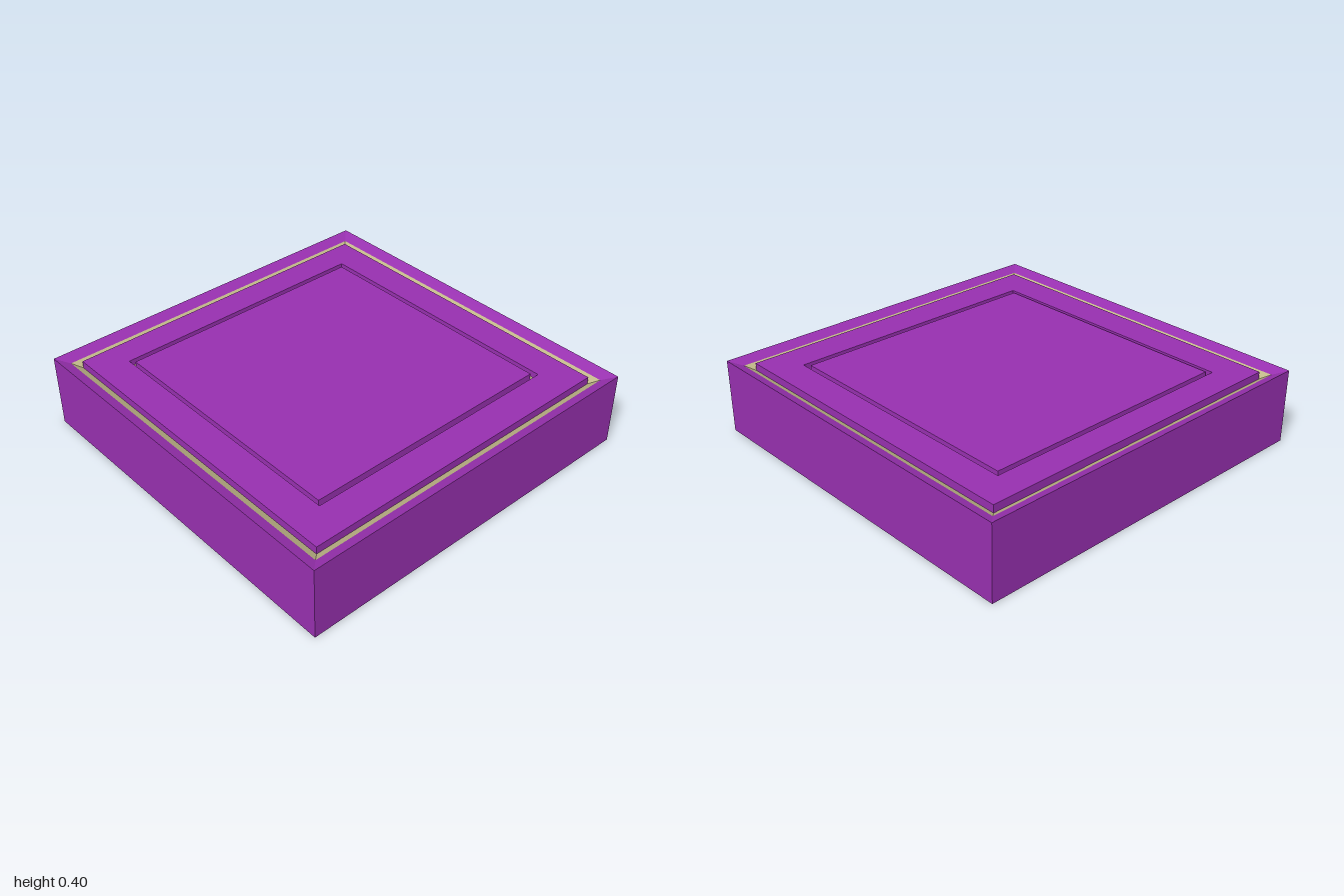
import * as THREE from 'three';

// Rectangular loop at height y, counter-clockwise seen from above
function loop(y, x0, x1 = -x0, z0 = x0, z1 = -z0) {
  return [[x0, y, z1], [x1, y, z1], [x1, y, z0], [x0, y, z0]];
}

// Strip of quads joining consecutive loops, working from outside to inside
function bandGeometry(...loops) {
  const pos = [];
  for (let k = 0; k + 1 < loops.length; k++) {
    const a = loops[k], b = loops[k + 1];
    for (let i = 0; i < 4; i++) {
      const j = (i + 1) % 4;
      pos.push(...a[i], ...a[j], ...b[j], ...a[i], ...b[j], ...b[i]);
    }
  }
  const g = new THREE.BufferGeometry();
  g.setAttribute('position', new THREE.Float32BufferAttribute(pos, 3));
  g.computeVertexNormals();
  return g;
}

// Flat cap filling a loop
function capGeometry(l, down = false) {
  const w = l[1][0] - l[0][0], d = l[0][2] - l[3][2];
  const g = new THREE.PlaneGeometry(w, d);
  g.rotateX(down ? Math.PI / 2 : -Math.PI / 2);
  g.translate((l[0][0] + l[1][0]) / 2, l[0][1], (l[0][2] + l[3][2]) / 2);
  return g;
}

export function createModel() {
  const purple = new THREE.MeshStandardMaterial({ color: 0x9830b0 });
  purple.name = 'purple';
  const beige = new THREE.MeshStandardMaterial({ color: 0xc0b688 });
  beige.name = 'beige';

  const model = new THREE.Group();
  model.name = 'squareTile';
  const add = (name, geometry, material) => {
    const mesh = new THREE.Mesh(geometry, material);
    mesh.name = name;
    model.add(mesh);
  };

  const top = 0.39, floor = 0.355;
  const base = loop(0, -1);
  const rimOuter = loop(0.4, -1);
  const rimInner = loop(0.375, -0.94);
  const blockFoot = loop(0.35, -0.897);
  const blockTop = loop(top, -0.897);
  const grooveOuter = y => loop(y, -0.72, 0.73, -0.74, 0.715);
  const grooveInner = y => loop(y, -0.7, 0.706, -0.714, 0.686);

  // Outer walls, underside and inward-sloping rim
  add('outerWalls', bandGeometry(base, rimOuter), purple);
  add('underside', capGeometry(base, true), purple);
  add('slopedRim', bandGeometry(rimOuter, rimInner), purple);

  // Light border sunk between the rim and the raised block
  add('borderChannel', bandGeometry(rimInner, blockFoot), beige);

  // Raised block with a narrow inlaid groove
  add('raisedBlock', bandGeometry(blockFoot, blockTop, grooveOuter(top), grooveOuter(floor)), purple);
  add('grooveFloor', bandGeometry(grooveOuter(floor), grooveInner(floor)), beige);
  add('panelWalls', bandGeometry(grooveInner(floor), grooveInner(top)), purple);
  add('centrePanel', capGeometry(grooveInner(top)), purple);

  return model;
}
